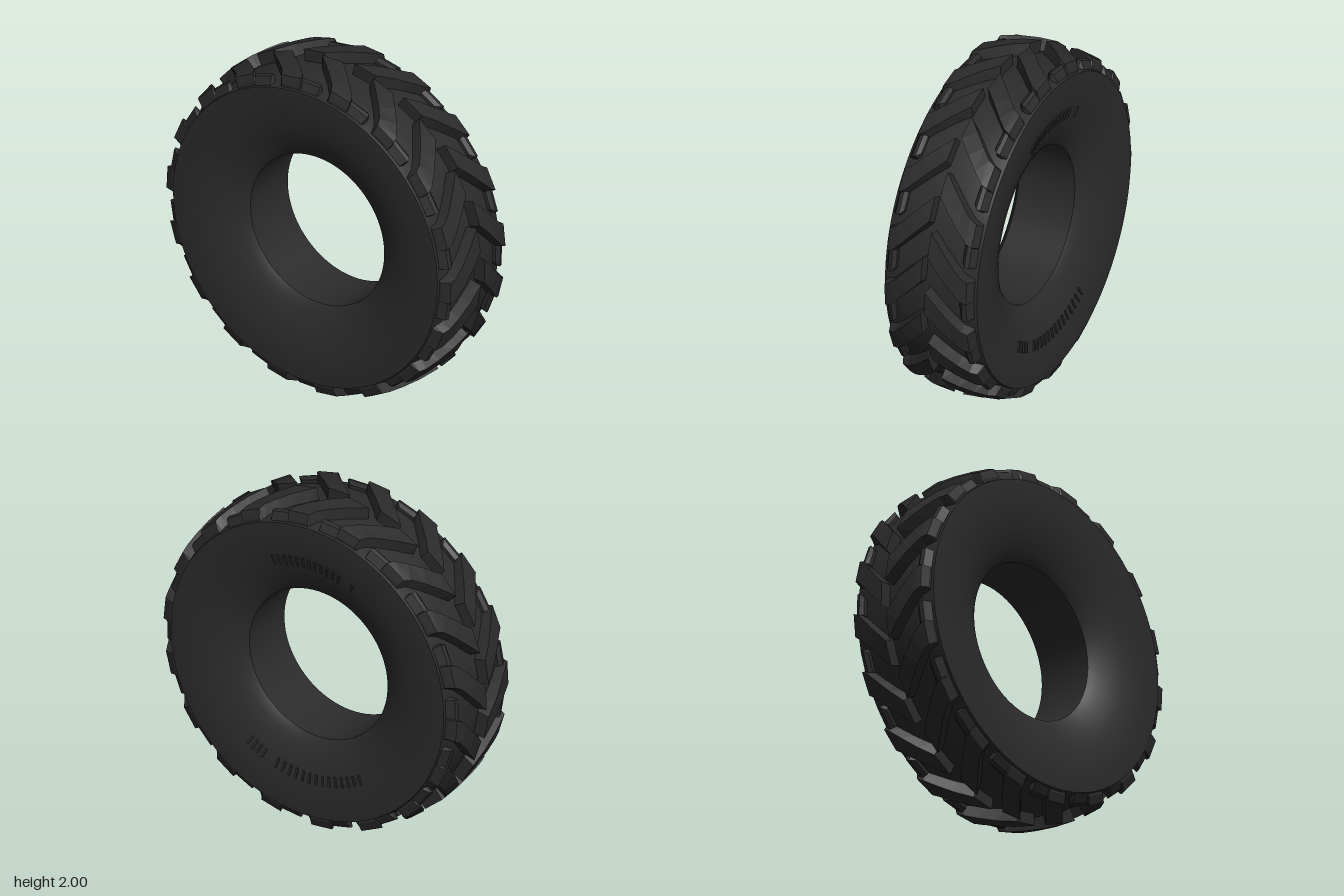
import * as THREE from 'three';

const rad = THREE.MathUtils.degToRad;

// Ring swept around the z axis from [radius, z] points
function ring(name, points, material) {
  const geo = new THREE.LatheGeometry(points.map(([r, z]) => new THREE.Vector2(r, z)), 96);
  geo.rotateX(Math.PI / 2);
  const mesh = new THREE.Mesh(geo, material);
  mesh.name = name;
  return mesh;
}

// Stations from the centre groove to the shoulder:
// z, sweep in degrees, top radius, half top width, half base width in degrees
const lugStations = [
  [0.014, 0, 1.002, 4.1, 4.9],
  [0.09, -4.7, 0.997, 4.1, 5.0],
  [0.16, -9.2, 0.988, 4.1, 5.0],
  [0.215, -12.5, 0.979, 4.1, 5.0],
  [0.252, -13.6, 0.968, 4.0, 4.9],
  [0.27, -13.8, 0.92, 3.9, 4.7],
];
// Lower step trailing behind the outer end of each lug, sloping outwards
const footStations = [
  [0.2, -20, 0.94, 3.2, 4.0],
  [0.222, -20.8, 0.957, 4.0, 4.6],
  [0.245, -21, 0.95, 4.0, 4.6],
  [0.27, -21, 0.908, 3.8, 4.4],
];

// Flat-faced block lofted through trapezoid stations, for side +1 or -1 in z
function blockGeometry(stations, side) {
  const rows = stations.map(([z, sweep, top, ht, hb]) =>
    [[0.885, -hb], [top, -ht], [top, ht], [0.885, hb]].map(([r, a]) => {
      const t = rad(sweep + a);
      return [r * Math.cos(t), r * Math.sin(t), z * side];
    }));
  const pos = [];
  const quad = (a, b, c, d) => {
    const tris = side > 0 ? [a, b, c, a, c, d] : [a, c, b, a, d, c];
    tris.forEach((p) => pos.push(...p));
  };
  for (let i = 0; i < rows.length - 1; i++) {
    for (let j = 0; j < 3; j++) {
      quad(rows[i][j], rows[i][j + 1], rows[i + 1][j + 1], rows[i + 1][j]);
    }
  }
  const first = rows[0], last = rows[rows.length - 1];
  quad(first[3], first[2], first[1], first[0]);
  quad(last[0], last[1], last[2], last[3]);
  const geo = new THREE.BufferGeometry();
  geo.setAttribute('position', new THREE.Float32BufferAttribute(pos, 3));
  geo.computeVertexNormals();
  return geo;
}

export function createModel() {
  const model = new THREE.Group();
  model.name = 'tyre';
  const rubber = new THREE.MeshStandardMaterial({ color: 0x2b2b2b });
  rubber.name = 'black rubber';

  const tyre = new THREE.Group();
  tyre.name = 'tyreBody';
  tyre.position.y = 1;
  model.add(tyre);

  // Carcass: tread base, dished sidewalls and bore
  const wall = [
    [0.899, 0.285], [0.84, 0.287], [0.78, 0.284], [0.72, 0.277], [0.64, 0.262],
    [0.57, 0.239], [0.51, 0.211], [0.475, 0.19], [0.455, 0.173],
  ];
  const half = [[0.93, 0], [0.926, 0.12], [0.916, 0.22], [0.899, 0.285]];
  const mirror = (pts) => pts.map(([r, z]) => [r, -z]).reverse();
  tyre.add(
    ring('treadBase', [...mirror(half), ...half.slice(1)], rubber),
    ring('frontSidewall', wall, rubber),
    ring('backSidewall', mirror(wall), rubber),
    ring('bore', [[0.455, 0.173], [0.455, -0.173]], rubber),
  );

  // Chevron lugs with shoulder steps, the two halves staggered
  const count = 18;
  for (const [side, label, phase] of [[1, 'front', 10.7], [-1, 'back', -0.8]]) {
    const lugGeo = blockGeometry(lugStations, side);
    const footGeo = blockGeometry(footStations, side);
    for (let i = 0; i < count; i++) {
      const lug = new THREE.Mesh(lugGeo, rubber);
      lug.name = label + 'Lug';
      lug.rotation.z = rad(phase + (i * 360) / count);
      const foot = new THREE.Mesh(footGeo, rubber);
      foot.name = label + 'LugStep';
      lug.add(foot);
      tyre.add(lug);
    }
  }

  // Short raised ribs in arcs on the back sidewall: start angle, end angle, count
  const ribGeo = new THREE.BoxGeometry(0.012, 0.06, 0.02);
  for (const [from, to, n] of [[-20, 17, 12], [25, 25, 1], [206, 215, 4], [150, 198, 14]]) {
    for (let i = 0; i < n; i++) {
      const pivot = new THREE.Group();
      pivot.name = 'sidewallRib';
      pivot.rotation.z = rad(from + (n > 1 ? ((to - from) * i) / (n - 1) : 0));
      const rib = new THREE.Mesh(ribGeo, rubber);
      rib.name = 'rib';
      rib.position.set(0, 0.67, -0.267);
      rib.rotation.x = -0.2;
      pivot.add(rib);
      tyre.add(pivot);
    }
  }
  return model;
}
